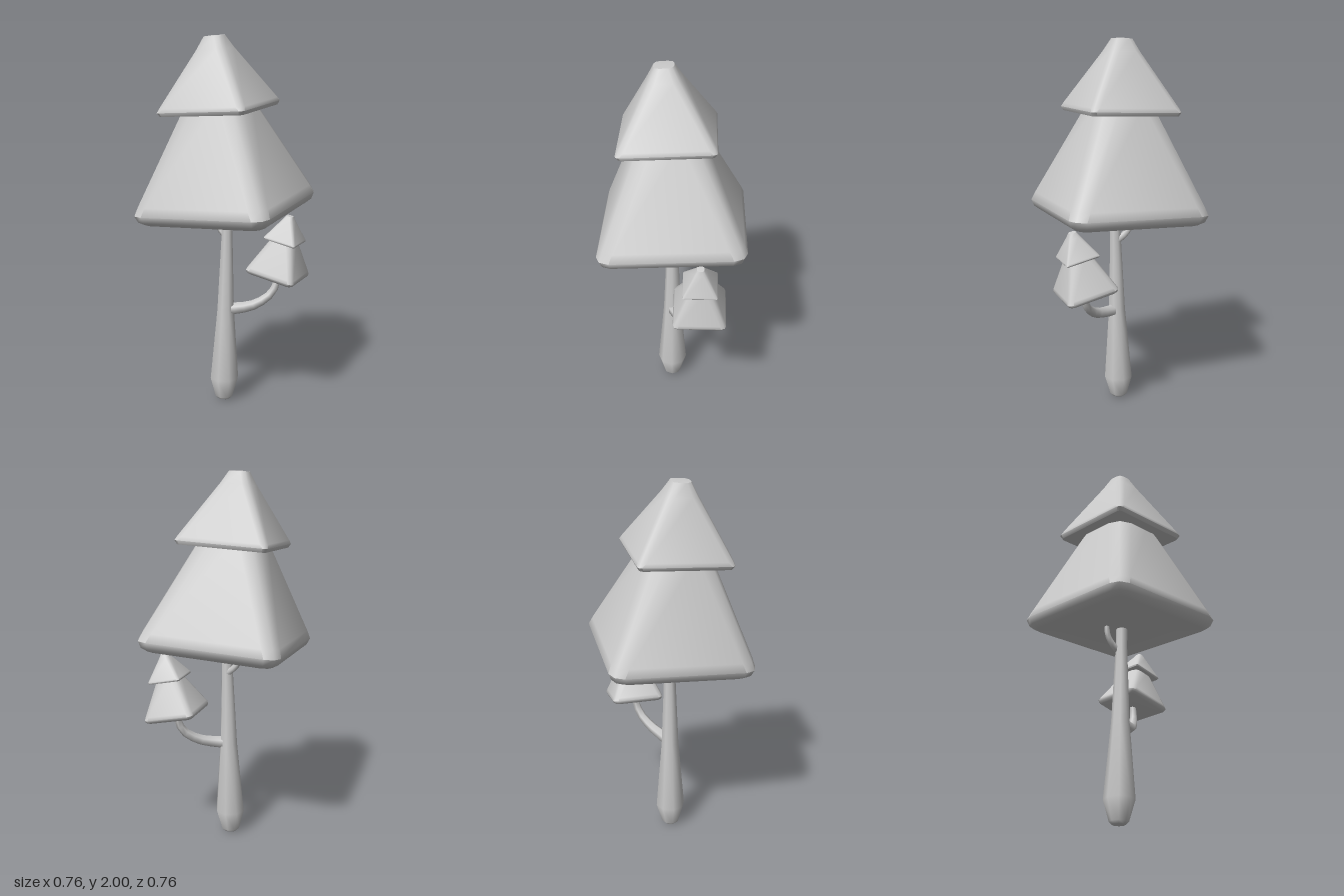
import * as THREE from 'three';
import { toCreasedNormals } from 'three/addons/utils/BufferGeometryUtils.js';

const grey = new THREE.MeshStandardMaterial({ color: 0xcccccc });

function addMesh(parent, name, geometry) {
  const mesh = new THREE.Mesh(geometry, grey);
  mesh.name = name;
  parent.add(mesh);
  return mesh;
}

// Square section with rounded corners, three points per corner
function squareRing(half, corner) {
  const points = [];
  for (let q = 0; q < 4; q++) {
    const turn = (q * Math.PI) / 2 + Math.PI / 4;
    const cx = Math.sign(Math.cos(turn)) * (half - corner);
    const cz = Math.sign(Math.sin(turn)) * (half - corner);
    for (let k = -1; k <= 1; k++) {
      const a = turn + (k * Math.PI) / 4;
      points.push([cx + corner * Math.cos(a), cz + corner * Math.sin(a)]);
    }
  }
  return points;
}

// Closed loft through rings of [height, half width, corner radius]
function loftTier(rings) {
  const positions = [], index = [], n = 12, last = rings.length - 1;
  for (const [y, half, corner] of rings)
    for (const [x, z] of squareRing(half, corner)) positions.push(x, y, z);
  const bottom = positions.length / 3, top = bottom + 1;
  positions.push(0, rings[0][0], 0, 0, rings[last][0] + 0.004, 0);
  for (let j = 0; j < n; j++) {
    const k = (j + 1) % n;
    for (let i = 0; i < last; i++) {
      const a = i * n + j, b = i * n + k, c = b + n, d = a + n;
      index.push(a, d, b, b, d, c);
    }
    index.push(bottom, j, k, top, last * n + k, last * n + j);
  }
  const geometry = new THREE.BufferGeometry();
  geometry.setAttribute('position', new THREE.Float32BufferAttribute(positions, 3));
  geometry.setIndex(index);
  return toCreasedNormals(geometry, 0.85);
}

const lowerTier = loftTier([
  [0, 0.335, 0.05], [0.02, 0.365, 0.06], [0.055, 0.38, 0.07],
  [0.1, 0.365, 0.075], [0.6, 0.155, 0.09],
]);
const upperTier = loftTier([
  [0.55, 0.235, 0.02], [0.57, 0.246, 0.022], [0.59, 0.24, 0.035],
  [0.865, 0.085, 0.04], [0.93, 0.05, 0.03],
]);

// Two stacked tiers, leaning along the given axis
function addCrown(parent, name, position, axis, scale) {
  const crown = new THREE.Group();
  crown.name = name;
  addMesh(crown, 'lowerTier', lowerTier);
  addMesh(crown, 'upperTier', upperTier);
  crown.position.set(...position);
  crown.quaternion.setFromUnitVectors(new THREE.Vector3(0, 1, 0), new THREE.Vector3(...axis).normalize());
  crown.scale.setScalar(scale);
  parent.add(crown);
}

// Tube whose radius shrinks from r0 to r1
function taperedTube(points, r0, r1) {
  const curve = new THREE.CatmullRomCurve3(points.map((p) => new THREE.Vector3(...p)));
  const steps = 8, sides = 6;
  const geometry = new THREE.TubeGeometry(curve, steps, 1, sides);
  const pos = geometry.attributes.position, v = new THREE.Vector3();
  for (let i = 0; i < pos.count; i++) {
    const t = Math.floor(i / (sides + 1)) / steps;
    const centre = curve.getPointAt(t);
    v.fromBufferAttribute(pos, i).sub(centre).multiplyScalar(r0 + (r1 - r0) * t).add(centre);
    pos.setXYZ(i, v.x, v.y, v.z);
  }
  return geometry;
}

export function createModel() {
  const tree = new THREE.Group();
  tree.name = 'tree';

  // Trunk with a swollen foot, leaning slightly
  const profile = [[0, 0], [0.035, 0.005], [0.05, 0.02], [0.081, 0.13], [0.048, 0.53], [0.031, 0.95], [0.03, 1.12]];
  const trunk = new THREE.LatheGeometry(profile.map((p) => new THREE.Vector2(...p)), 8);
  const pos = trunk.attributes.position;
  for (let i = 0; i < pos.count; i++) {
    const y = pos.getY(i);
    pos.setX(i, pos.getX(i) - 0.018 + 0.02 * y);
    pos.setZ(i, pos.getZ(i) + 0.01);
  }
  addMesh(tree, 'trunk', trunk);

  // Branch carrying the small crown
  addMesh(tree, 'branch', taperedTube(
    [[-0.01, 0.53, 0.012], [0.06, 0.535, -0.015], [0.14, 0.555, -0.06], [0.21, 0.61, -0.11], [0.235, 0.67, -0.13], [0.238, 0.74, -0.14]],
    0.036, 0.016));

  // Short twig under the large crown
  addMesh(tree, 'twig', taperedTube(
    [[0, 0.93, 0], [-0.045, 0.965, -0.01], [-0.075, 1.01, -0.015], [-0.085, 1.1, -0.015]], 0.02, 0.012));

  addCrown(tree, 'largeCrown', [0, 1.065, 0], [-0.055, 1, 0.055], 1);
  addCrown(tree, 'smallCrown', [0.232, 0.712, -0.143], [0.21, 1, 0], 0.37);
  return tree;
}
